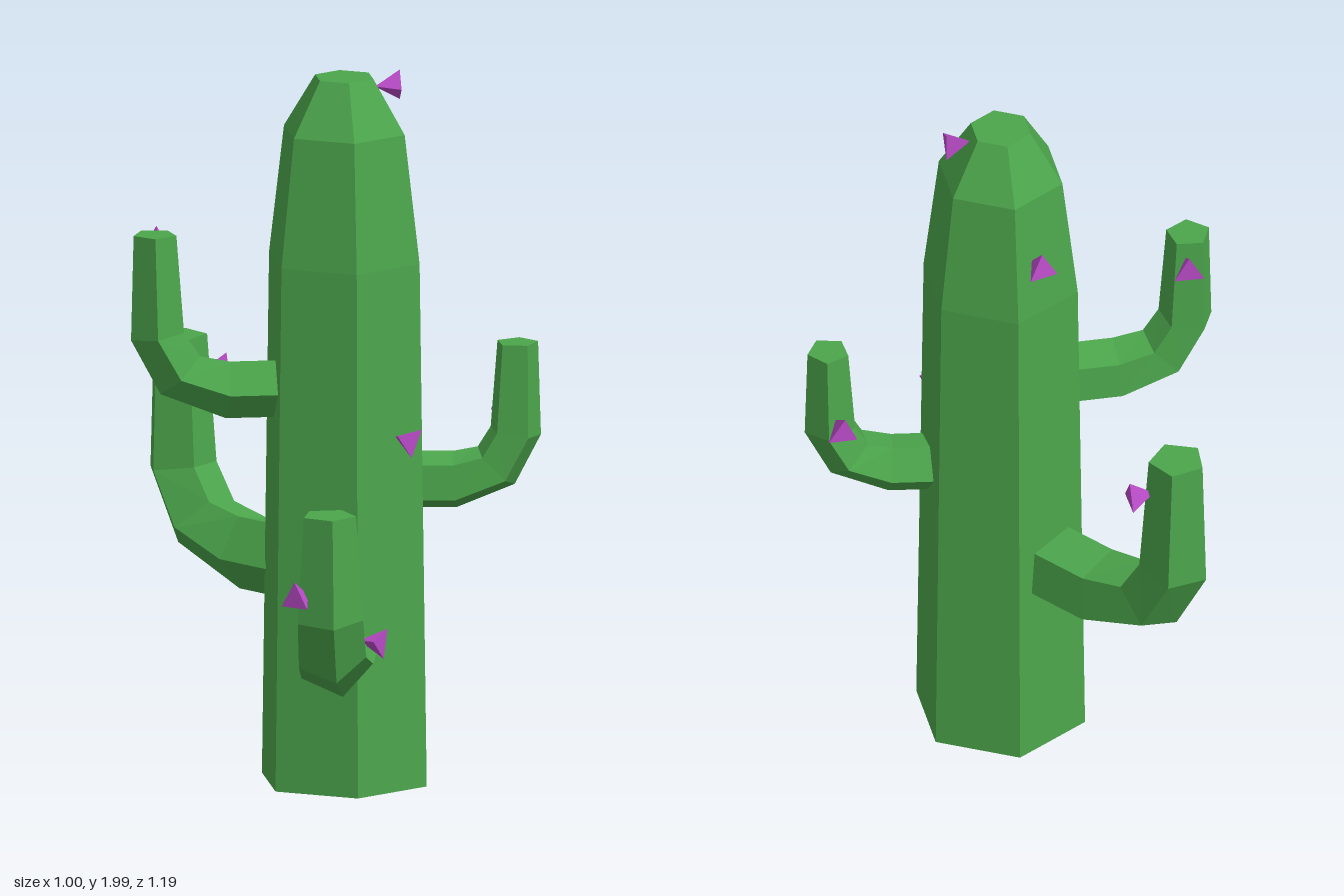
import * as THREE from 'three';

const green = new THREE.MeshStandardMaterial({ color: 0x4ca64c, flatShading: true });
const purple = new THREE.MeshStandardMaterial({ color: 0xba4bc8, flatShading: true });
const CX = 0.03, CZ = 0.12; // trunk axis

// Skin a list of equal-sided rings and cap both ends
function loft(rings) {
  const n = rings[0].length, pos = [], idx = [];
  for (const ring of rings) for (const p of ring) pos.push(p.x, p.y, p.z);
  for (let i = 0; i < rings.length - 1; i++) {
    for (let k = 0; k < n; k++) {
      const a = i * n + k, d = i * n + (k + 1) % n, b = a + n, c = d + n;
      idx.push(a, b, c, a, c, d);
    }
  }
  const last = (rings.length - 1) * n;
  for (let k = 1; k < n - 1; k++) {
    idx.push(0, k, k + 1, last, last + k + 1, last + k);
  }
  const g = new THREE.BufferGeometry();
  g.setAttribute('position', new THREE.Float32BufferAttribute(pos, 3));
  g.setIndex(idx);
  const flat = g.toNonIndexed();
  flat.computeVertexNormals();
  return flat;
}

// Polygon around a centre, spanned by two unit axes
function ring(center, n, w, r, sides, start) {
  return Array.from({ length: sides }, (_, k) => {
    const a = start + (k / sides) * Math.PI * 2;
    return center.clone().addScaledVector(n, r * Math.cos(a)).addScaledVector(w, r * Math.sin(a));
  });
}

// Six-sided trunk, tapering to a blunt tip
function makeTrunk() {
  const x = new THREE.Vector3(1, 0, 0), z = new THREE.Vector3(0, 0, 1);
  const profile = [[0, 0.243], [1.47, 0.222], [1.83, 0.178], [1.98, 0.086]];
  return loft(profile.map(([y, r]) => ring(new THREE.Vector3(CX, y, CZ), x, z, r, 6, -0.05)));
}

// Five-sided arm: runs out from the trunk, then bends upward
function makeArm({ angle, y, top, reach, r }) {
  const t = THREE.MathUtils.degToRad(angle), start = 0.18;
  const out = new THREE.Vector3(Math.cos(t), 0, Math.sin(t));
  const side = new THREE.Vector3(-Math.sin(t), 0, Math.cos(t));
  // reach fraction, rise fraction, tilt in degrees, radius factor
  const steps = [[0, 0, 0, 1], [0.42, 0, 4, 1], [0.8, 0.1, 45, 0.93], [0.98, 0.35, 82, 0.9], [1, 1, 90, 0.72]];
  return loft(steps.map(([f, h, tilt, s]) => {
    const u = start + f * (reach - start), b = THREE.MathUtils.degToRad(tilt);
    const c = new THREE.Vector3(CX, y + h * (top - y), CZ).addScaledVector(out, u);
    const n = out.clone().multiplyScalar(Math.sin(b));
    n.y = -Math.cos(b);
    return ring(c, n, side, r * s, 5, -0.22);
  }));
}

// Three-sided flower: point on the skin, wide end outward
function makeFlower([pos, dir, twist]) {
  const g = new THREE.CylinderGeometry(0.048, 0, 0.07, 3);
  g.translate(0, 0.035, 0).rotateX(Math.PI / 2);
  const m = new THREE.Mesh(g, purple);
  m.position.set(...pos);
  m.lookAt(new THREE.Vector3(...dir).add(m.position));
  m.rotateZ(THREE.MathUtils.degToRad(twist));
  return m;
}

export function createModel() {
  const model = new THREE.Group();
  model.name = 'cactus';
  const add = (mesh, name) => { mesh.name = name; model.add(mesh); };

  add(new THREE.Mesh(makeTrunk(), green), 'trunk');

  const arms = {
    backArm: { angle: 260.5, y: 0.59, top: 1.155, reach: 0.64, r: 0.11 },
    frontRightArm: { angle: 130.7, y: 0.41, top: 0.86, reach: 0.52, r: 0.106 },
    backRightArm: { angle: 209, y: 1.115, top: 1.55, reach: 0.525, r: 0.086 },
    frontLeftArm: { angle: 36.9, y: 0.845, top: 1.235, reach: 0.475, r: 0.082 },
  };
  for (const [name, arm] of Object.entries(arms)) add(new THREE.Mesh(makeArm(arm), green), name);

  // position of the point, outward direction, twist
  const flowers = {
    tipFlower: [[0.105, 1.95, 0.16], [0.85, 0, 0.53], 30],
    trunkBackFlower: [[0.06, 1.64, -0.05], [0.2, 0.15, -0.9], 180],
    trunkFrontFlower: [[0.067, 0.995, 0.308], [0, 0, 1], 5],
    frontLeftArmFlower: [[0.433, 1.045, 0.345], [0.35, 0, -0.9], 175],
    backRightArmFlower: [[-0.392, 1.5, -0.168], [0.5, 0, -0.83], 180],
    backArmFlower: [[-0.02, 1.05, -0.478], [0.9, 0, 0.4], 175],
    frontRightArmFlower: [[-0.365, 0.64, 0.495], [-0.9, 0, 0.35], 180],
    frontRightArmLowFlower: [[-0.09, 0.45, 0.355], [0.4, 0, 0.85], 15],
  };
  for (const [name, f] of Object.entries(flowers)) add(makeFlower(f), name);
  return model;
}
